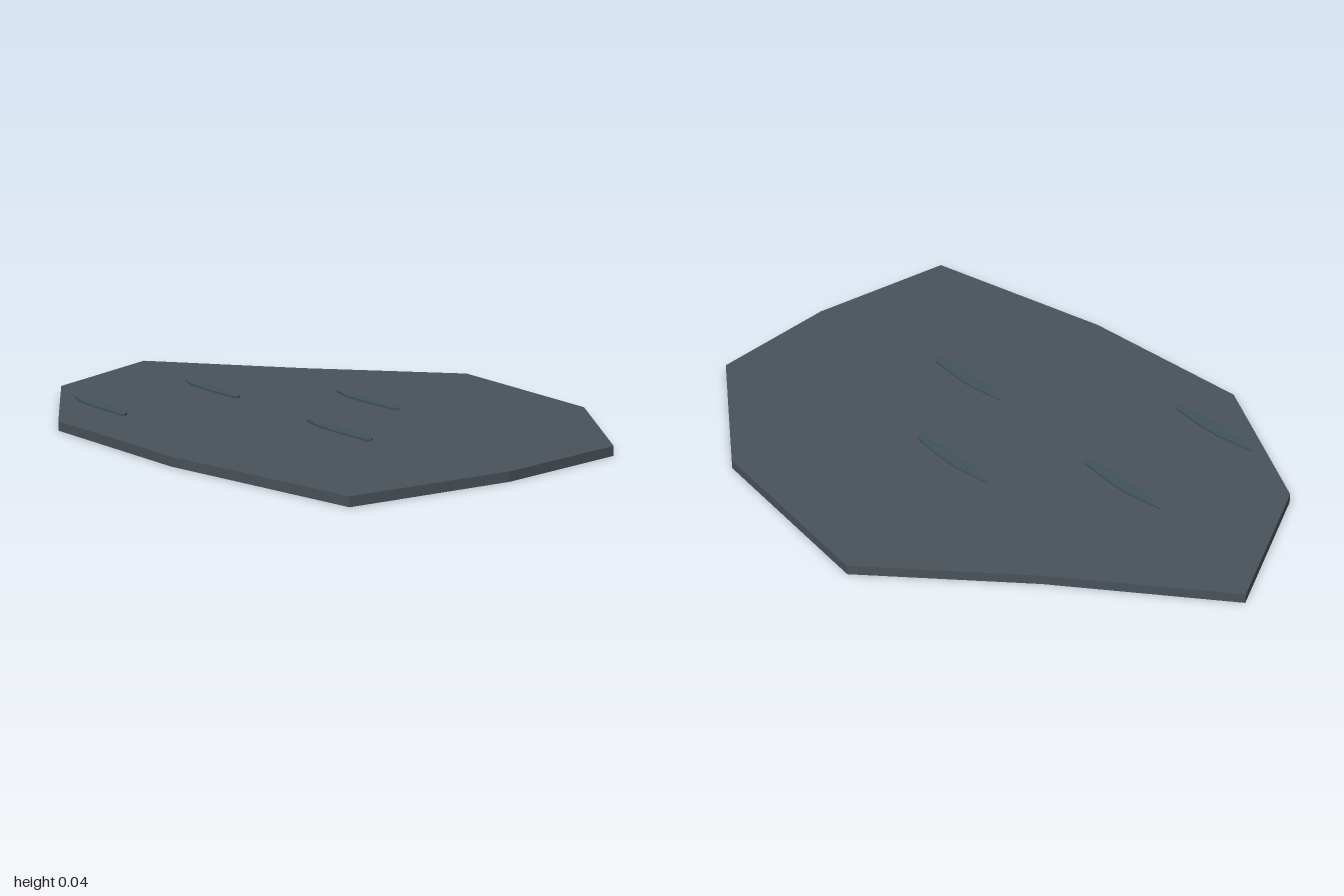
import * as THREE from 'three';

// Flat plate from an [x, z] outline, standing between two heights
function plate(outline, bottom, top, material, name) {
  const shape = new THREE.Shape(outline.map(([x, z]) => new THREE.Vector2(x, -z)));
  const geometry = new THREE.ExtrudeGeometry(shape, { depth: top - bottom, bevelEnabled: false });
  geometry.rotateX(-Math.PI / 2).translate(0, bottom, 0);
  const mesh = new THREE.Mesh(geometry, material);
  mesh.name = name;
  return mesh;
}

export function createModel() {
  const model = new THREE.Group();
  model.name = 'stoneSlab';
  const stone = new THREE.MeshStandardMaterial({ color: 0x4a535b, flatShading: true });
  const chip = new THREE.MeshStandardMaterial({ color: 0x42535c, flatShading: true });

  // Irregular ten-sided slab
  model.add(plate([
    [-0.1, -0.76], [0.54, -0.6], [0.97, -0.23], [1, 0.22], [0.93, 0.725],
    [0.26, 0.755], [-0.34, 0.69], [-0.8, 0.345], [-1, -0.14], [-0.53, -0.44],
  ], 0, 0.028, stone, 'slab'));

  // Four thin slivers lying just above the slab
  const sliver = [
    [-0.166, -0.037], [-0.04, -0.036], [0.04, -0.022], [0.153, 0.008],
    [0.166, 0.026], [0.163, 0.037], [0.085, 0.026], [0, 0.015], [-0.1, -0.007],
  ];
  const spots = [[0.053, -0.163], [-0.41, 0.062], [0.33, 0.212], [-0.42, 0.487]];
  spots.forEach(([x, z], i) => {
    const mark = plate(sliver, 0.033, 0.039, chip, `surfaceMark${i + 1}`);
    mark.position.set(x, 0, z);
    model.add(mark);
  });

  return model;
}
